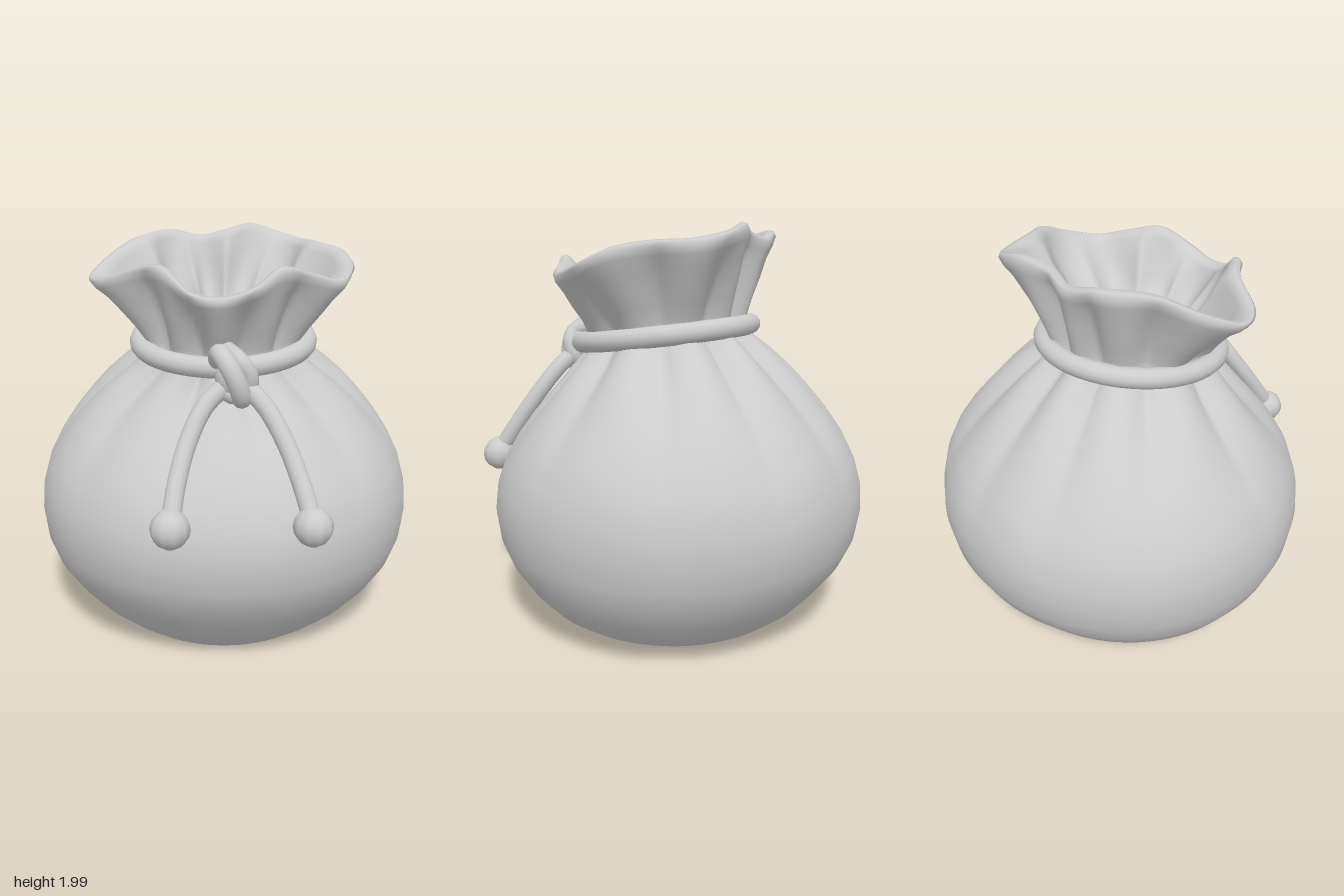
import * as THREE from 'three';

const N = 154; // points around the sack

// Rim of the open mouth, anticlockwise from the front
const RIM = [
  [0, 1.72, 0.56], [0.15, 1.76, 0.55], [0.27, 1.84, 0.46], [0.4, 1.81, 0.37], [0.54, 1.77, 0.26],
  [0.61, 1.82, 0.08], [0.58, 1.88, -0.06], [0.48, 1.91, -0.2], [0.39, 1.92, -0.38], [0.28, 1.95, -0.48],
  [0.13, 1.99, -0.48], [0, 1.96, -0.43], [-0.14, 1.93, -0.44], [-0.3, 1.96, -0.4], [-0.45, 1.93, -0.22],
  [-0.57, 1.85, -0.07], [-0.63, 1.77, 0.12], [-0.55, 1.77, 0.25], [-0.38, 1.83, 0.34], [-0.25, 1.84, 0.47],
  [-0.12, 1.74, 0.56],
].map((p) => new THREE.Vector3(...p));

// Body sections: height, half width, front z, back z, tilt, pleat depth
const BODY = [
  [0, 0.53, 0.51, -0.55, 0, 0], [0.05, 0.62, 0.57, -0.63, 0, 0], [0.12, 0.72, 0.64, -0.72, 0, 0],
  [0.22, 0.815, 0.72, -0.81, 0, 0], [0.34, 0.89, 0.81, -0.9, 0, 0], [0.46, 0.933, 0.865, -0.956, 0, 0],
  [0.6, 0.95, 0.885, -0.98, 0, 0], [0.72, 0.943, 0.87, -0.972, 0, 0.004], [0.84, 0.912, 0.825, -0.94, 0, 0.01],
  [0.95, 0.858, 0.755, -0.885, 0, 0.02], [1.06, 0.782, 0.675, -0.8, 0.01, 0.04],
  [1.16, 0.695, 0.595, -0.7, 0.03, 0.07], [1.25, 0.605, 0.53, -0.6, 0.06, 0.11],
  [1.33, 0.51, 0.48, -0.5, 0.1, 0.15], [1.4, 0.425, 0.44, -0.41, 0.13, 0.15], [1.46, 0.385, 0.42, -0.37, 0.135, 0.12],
];

// Sharp valleys between rounded pleats
const pleat = (a) => Math.abs(Math.cos(5.5 * a + 0.5 * Math.sin(2 * a))) - 0.75;

function sectionPoint([y, rx, zf, zb, tilt, depth], a) {
  const k = 1 + depth * pleat(a);
  const mid = (zf + zb) / 2;
  const z = mid + ((zf - zb) / 2) * Math.cos(a) * k;
  return new THREE.Vector3(rx * Math.sin(a) * k, y - tilt * z, z);
}

// Skin closed loops of points with smooth normals
function skin(loops) {
  const pos = loops.flatMap((l) => l.flatMap((p) => [p.x, p.y, p.z]));
  const index = [];
  for (let r = 0; r < loops.length - 1; r++) {
    for (let i = 0; i < N; i++) {
      const j = (i + 1) % N, a = r * N + i, b = r * N + j;
      index.push(a, b, b + N, a, b + N, a + N);
    }
  }
  const g = new THREE.BufferGeometry();
  g.setAttribute('position', new THREE.Float32BufferAttribute(pos, 3));
  g.setIndex(index);
  g.computeVertexNormals();
  return g;
}

export function createModel() {
  const model = new THREE.Group();
  const cloth = new THREE.MeshStandardMaterial({ color: 0xcccccc });
  cloth.name = 'light grey';
  const add = (name, geometry, parent = model) => {
    const m = new THREE.Mesh(geometry, cloth);
    m.name = name;
    parent.add(m);
    return m;
  };

  const rimCurve = new THREE.CatmullRomCurve3(RIM, true);
  const rim = Array.from({ length: N }, (_, i) => rimCurve.getPoint(i / N));
  const angles = rim.map((p) => Math.atan2(p.x, p.z - 0.03));
  const loop = (fn) => angles.map((a, i) => fn(a, i));
  const neckRow = BODY[BODY.length - 1];

  // Point on the flared collar: t runs from neck to rim, inset is the cloth thickness
  const collar = (t, out, inset, lift) => loop((a, i) => {
    const n = sectionPoint(neckRow, a), r = rim[i];
    const fold = 1 + 0.1 * pleat(a) * (1 - t) * t * 4;
    return new THREE.Vector3(
      THREE.MathUtils.lerp(n.x, r.x, out) * fold - Math.sin(a) * inset,
      THREE.MathUtils.lerp(n.y, r.y, t) + lift,
      THREE.MathUtils.lerp(n.z, r.z, out) * fold - Math.cos(a) * inset,
    );
  });

  // Pinched star-shaped floor inside the mouth
  const floor = (radius, y) => loop((a) => {
    const k = radius * (1 + 0.25 * Math.cos(5 * a));
    return new THREE.Vector3(Math.sin(a) * k, y - 0.1 * Math.cos(a) * k, Math.cos(a) * k);
  });

  // Sack: body, collar, rolled rim and lining as one skin
  add('sackCloth', skin([
    ...BODY.map((row) => loop((a) => sectionPoint(row, a))),
    collar(0.12, 0.08, 0, 0),
    collar(0.3, 0.3, 0, 0),
    collar(0.5, 0.58, 0, 0),
    collar(0.7, 0.84, 0, 0),
    collar(0.84, 1, -0.012, 0),
    collar(0.93, 1, -0.025, 0),
    collar(1, 1, -0.012, -0.006),
    collar(1, 1, 0.012, 0),
    collar(1, 1, 0.035, -0.018),
    collar(0.9, 0.94, 0.05, 0),
    collar(0.7, 0.78, 0.06, 0),
    collar(0.5, 0.5, 0.07, 0),
    collar(0.3, 0.22, 0.09, 0),
    floor(0.23, 1.51),
    floor(0.12, 1.485),
    floor(0.0005, 1.48),
  ]));

  // Flat underside
  const base = new THREE.Shape(loop((a) => {
    const p = sectionPoint(BODY[0], a);
    return new THREE.Vector2(p.x, p.z);
  }));
  add('sackBase', new THREE.ShapeGeometry(base).rotateX(Math.PI / 2));

  // Cord around the neck
  const tube = (pts, r, closed = false) => new THREE.TubeGeometry(
    new THREE.CatmullRomCurve3(pts.map((p) => new THREE.Vector3(...p)), closed), closed ? 80 : 28, r, 12, closed);
  const ring = Array.from({ length: 24 }, (_, i) => {
    const a = (i / 24) * Math.PI * 2, z = 0.035 + 0.435 * Math.cos(a);
    return [0.415 * Math.sin(a), 1.455 - 0.135 * z, z];
  });
  add('neckCord', tube(ring, 0.05, true));

  // Knot: a core with cord wrapped over it
  const knot = new THREE.Group();
  knot.name = 'knot';
  model.add(knot);
  const core = add('knotCore', new THREE.SphereGeometry(0.085, 16, 12), knot);
  core.scale.set(1, 1.1, 0.85);
  core.position.set(0.065, 1.36, 0.54);
  add('knotWrap', tube([[-0.01, 1.42, 0.48], [0.0, 1.47, 0.54], [0.04, 1.43, 0.6], [0.08, 1.35, 0.61],
    [0.1, 1.28, 0.58], [0.09, 1.27, 0.5]], 0.045), knot);
  add('knotLoop', tube([[0.03, 1.47, 0.46], [0.09, 1.44, 0.56], [0.13, 1.38, 0.56], [0.12, 1.3, 0.54],
    [0.06, 1.29, 0.56], [0.0, 1.33, 0.53]], 0.042), knot);

  // Hanging cord ends with bead tips
  const ends = [
    ['right', [[0.04, 1.34, 0.54], [-0.06, 1.25, 0.6], [-0.135, 1.1, 0.69], [-0.175, 0.95, 0.79], [-0.195, 0.8, 0.89]]],
    ['left', [[0.1, 1.34, 0.54], [0.2, 1.25, 0.59], [0.295, 1.1, 0.67], [0.36, 0.95, 0.755], [0.41, 0.8, 0.84]]],
  ];
  for (const [side, pts] of ends) {
    add(side + 'CordEnd', tube(pts, 0.043));
    const [x, y, z] = pts[pts.length - 1];
    add(side + 'Bead', new THREE.SphereGeometry(0.088, 10, 8)).position.set(x, y - 0.012, z);
  }
  return model;
}
